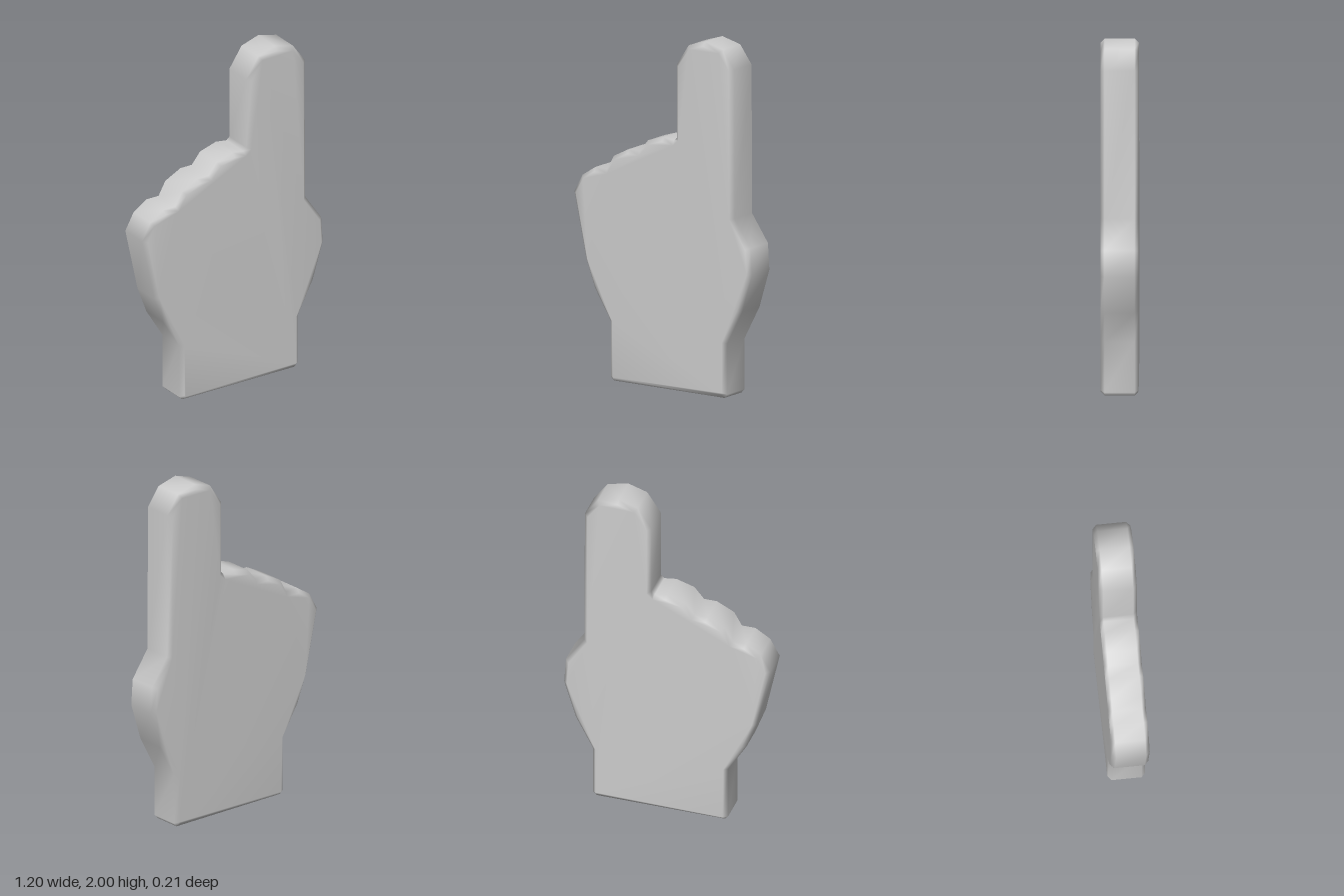
import * as THREE from 'three';
import { mergeVertices } from 'three/addons/utils/BufferGeometryUtils.js';

const THICKNESS = 0.21;
const BEVEL = 0.022;

// Outline of the pointing hand, counter-clockwise from the wrist
const wristLeft = [[-0.335, 0], [0.41, 0], [0.43, 0.022], [0.43, 0.31]];
const thumbSide = [[0.53, 0.5], [0.597, 0.72], [0.587, 0.87], [0.48, 1.025]];
const indexFinger = [[0.477, 1.865], [0.4, 1.97], [0.28, 2], [0.17, 1.965], [0.09, 1.845], [0.09, 1.43]];
const knuckles = [
  [0.07, 1.412], [0, 1.422], [-0.105, 1.39], [-0.16, 1.323],
  [-0.235, 1.323], [-0.335, 1.272], [-0.38, 1.192],
  [-0.46, 1.192], [-0.545, 1.137], [-0.6, 1.037],
];
const palmSide = [[-0.52, 0.665], [-0.46, 0.505], [-0.355, 0.335], [-0.355, 0.02]];

export function createModel() {
  const group = new THREE.Group();
  group.name = 'pointingHand';

  const points = [...wristLeft, ...thumbSide, ...indexFinger, ...knuckles, ...palmSide]
    .map(([x, y]) => new THREE.Vector2(x, y));

  // Slab with a single chamfer that stays inside the outline
  let geometry = new THREE.ExtrudeGeometry(new THREE.Shape(points), {
    depth: THICKNESS - 2 * BEVEL,
    steps: 1,
    bevelEnabled: true,
    bevelSegments: 1,
    bevelThickness: BEVEL,
    bevelSize: BEVEL,
    bevelOffset: -BEVEL,
  });
  geometry.translate(0, 0, -THICKNESS / 2 + BEVEL);

  // Shared vertices give soft shading across the edges
  geometry.deleteAttribute('normal');
  geometry.deleteAttribute('uv');
  geometry = mergeVertices(geometry, 1e-4);
  geometry.computeVertexNormals();

  const hand = new THREE.Mesh(geometry, new THREE.MeshStandardMaterial({ color: 0xcccccc }));
  hand.name = 'foamHand';
  group.add(hand);
  return group;
}
